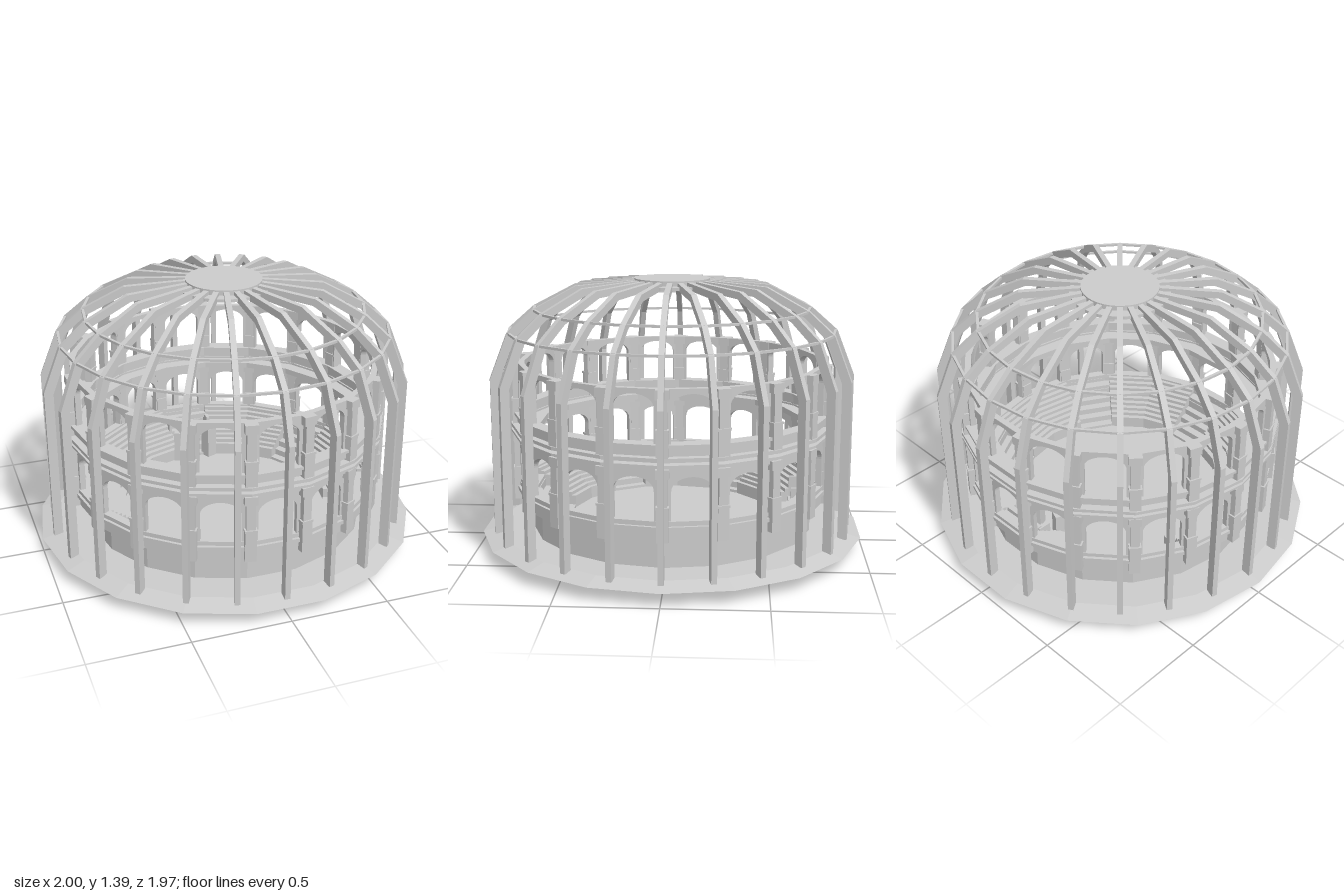
import * as THREE from 'three';

const SIDES = 18, BAY = (Math.PI * 2) / SIDES, RIBS = 24;
const WALL_R = 0.8; // corner radius of the arcade
const mat = new THREE.MeshStandardMaterial({ color: 0xcccccc, flatShading: true });
const thin = new THREE.MeshStandardMaterial({ color: 0xcccccc, flatShading: true, side: THREE.DoubleSide });

function add(parent, name, geometry, material = mat) {
  const mesh = new THREE.Mesh(geometry, material);
  mesh.name = name;
  parent.add(mesh);
  return mesh;
}

// Polygonal ring or disc from a radius/height profile; a corner lies on the x axis
function lathe(points, segments = SIDES, start = BAY / 2, length = Math.PI * 2) {
  return new THREE.LatheGeometry(points.map(p => new THREE.Vector2(...p)), segments, start, length);
}

// Ring with a rectangular section
function band(r0, r1, y0, y1, segments = SIDES, start = BAY / 2) {
  return lathe([[r0, y0], [r1, y0], [r1, y1], [r0, y1], [r0, y0]], segments, start);
}

function shapeOf(points) {
  return new THREE.Shape(points.map(p => new THREE.Vector2(...p)));
}

// One wall bay with a flattened arch opening
function archPanel(y0, y1, sill, spring, crown) {
  const half = WALL_R * Math.sin(BAY / 2), w = 0.098;
  const shape = shapeOf([[-half, y0], [half, y0], [half, y1], [-half, y1]]);
  const hole = new THREE.Path();
  hole.moveTo(-w, sill);
  hole.lineTo(w, sill);
  hole.lineTo(w, spring);
  hole.absellipse(0, spring, w, crown - spring, 0, Math.PI, false);
  hole.lineTo(-w, sill);
  shape.holes.push(hole);
  return new THREE.ExtrudeGeometry(shape, { depth: 0.03, bevelEnabled: false, curveSegments: 10 });
}

// Storey of arches with pilasters on the corners
function arcade(name, y0, y1, sill, spring, crown) {
  const group = new THREE.Group();
  group.name = name;
  const panel = archPanel(y0, y1, sill, spring, crown);
  const shaft = new THREE.BoxGeometry(0.045, y1 - y0, 0.06);
  const cap = new THREE.BoxGeometry(0.064, 0.045, 0.066);
  const foot = new THREE.BoxGeometry(0.056, sill + 0.07 - y0, 0.068);
  const collar = new THREE.BoxGeometry(0.062, 0.012, 0.074);
  for (let i = 0; i < SIDES; i++) {
    const bay = new THREE.Group();
    bay.name = 'bay';
    bay.rotation.y = i * BAY;
    add(bay, 'archWall', panel).position.z = WALL_R * Math.cos(BAY / 2) - 0.03;
    const column = new THREE.Group();
    column.name = 'pilaster';
    column.rotation.y = BAY / 2;
    add(column, 'shaft', shaft).position.set(0, (y0 + y1) / 2, 0.795);
    add(column, 'capital', cap).position.set(0, y1 - 0.0225, 0.795);
    add(column, 'pedestal', foot).position.set(0, (y0 + sill + 0.07) / 2, 0.795);
    add(column, 'collar', collar).position.set(0, sill + 0.07, 0.795);
    bay.add(column);
    group.add(bay);
  }
  return group;
}

// Stepped seating between two angles, with closed ends
function stand(name, start, bays, rows, y0, y1) {
  const group = new THREE.Group();
  group.name = name;
  const r0 = 0.54, r1 = 0.765, pts = [[r0, 0.12]];
  for (let i = 0; i < rows; i++) {
    const y = y0 + ((y1 - y0) * i) / (rows - 1);
    pts.push([r0 + ((r1 - r0) * i) / rows, y], [r0 + ((r1 - r0) * (i + 1)) / rows, y]);
  }
  // Inward-facing steps run downhill so that they face the arena
  add(group, 'steps', lathe([...pts].reverse(), bays, start, bays * BAY), thin);
  // Ends stay within the drum below the overhang
  const end = shapeOf([...pts, [r1, 0.27], [0.72, 0.27], [0.72, 0.12]]);
  for (const phi of [start, start + bays * BAY]) {
    add(group, 'standEnd', new THREE.ShapeGeometry(end), thin).rotation.y = phi - Math.PI / 2;
  }
  return group;
}

export function createModel() {
  const model = new THREE.Group();
  model.name = 'domedArena';

  // Bevelled foundation, drum and arena floor
  add(model, 'foundation', lathe([[0, 0], [0.76, 0], [1, 0.07], [0.9, 0.095], [0, 0.095]]));
  add(model, 'drum', band(0.71, 0.735, 0.09, 0.28));
  add(model, 'arenaFloor', lathe([[0.56, 0.09], [0.56, 0.125], [0, 0.125]]));

  // Overhanging walkway and its mouldings
  add(model, 'lowerWalkway', band(0.715, 0.79, 0.25, 0.3));
  add(model, 'lowerMoulding', band(0.765, 0.815, 0.3, 0.32));
  add(model, 'lowerSill', band(0.76, 0.805, 0.325, 0.345));

  // Two arched storeys
  model.add(arcade('lowerArcade', 0.25, 0.6, 0.345, 0.49, 0.555));
  model.add(arcade('upperArcade', 0.64, 0.97, 0.71, 0.885, 0.945));

  // Gallery floor and cornices between the storeys
  add(model, 'gallery', band(0.69, 0.79, 0.615, 0.645));
  add(model, 'corniceBase', band(0.76, 0.815, 0.585, 0.605));
  add(model, 'cornice', band(0.76, 0.838, 0.61, 0.622));
  add(model, 'corniceTop', band(0.76, 0.838, 0.638, 0.655));
  add(model, 'parapet', band(0.755, 0.81, 0.665, 0.7));
  add(model, 'parapetRail', band(0.75, 0.825, 0.7, 0.714));

  // Six blocks of seats separated by aisles
  for (let i = 0; i < 6; i++) {
    const start = BAY / 2 + i * 3 * BAY;
    model.add(stand('seatBlock', start, 2, 9, 0.19, 0.335));
    model.add(stand('aisle', start + 2 * BAY, 1, 5, 0.14, 0.27));
  }

  // Gate at the back of the arena
  const gate = new THREE.Group();
  gate.name = 'gate';
  for (const s of [-1, 1]) {
    const post = add(gate, 'gatePost', new THREE.BoxGeometry(0.06, 0.18, 0.06));
    post.position.set(s * 0.088, 0.21, -0.53);
    post.rotation.y = s * 0.4;
    add(gate, 'gateWall', new THREE.BoxGeometry(0.016, 0.19, 0.07)).position.set(s * 0.115, 0.22, -0.66);
  }
  add(gate, 'gateLintel', new THREE.BoxGeometry(0.23, 0.025, 0.03)).position.set(0, 0.31, -0.69);
  model.add(gate);

  // Cage of bent ribs
  const rib = new THREE.ExtrudeGeometry(shapeOf([
    [0.94, 0.085], [0.94, 0.9], [0.85, 1.13], [0.72, 1.245], [0.5, 1.36], [0.19, 1.385],
    [0.19, 1.35], [0.485, 1.325], [0.695, 1.215], [0.808, 1.11], [0.893, 0.89], [0.893, 0.085],
  ]), { depth: 0.028, bevelEnabled: false }).translate(0, 0, -0.014);
  for (let i = 0; i < RIBS; i++) {
    add(model, 'domeRib', rib).rotation.y = (i * Math.PI * 2) / RIBS;
  }

  // Thin hoops tying the ribs, and the crown
  add(model, 'lowerHoop', band(0.835, 0.848, 1.122, 1.134, RIBS, 0));
  add(model, 'upperHoop', band(0.703, 0.717, 1.236, 1.248, RIBS, 0));
  add(model, 'crownRing', band(0.17, 0.25, 1.35, 1.366, 36, 0));
  add(model, 'crownDisc', new THREE.CylinderGeometry(0.195, 0.195, 0.04, 36)).position.y = 1.372;

  return model;
}
